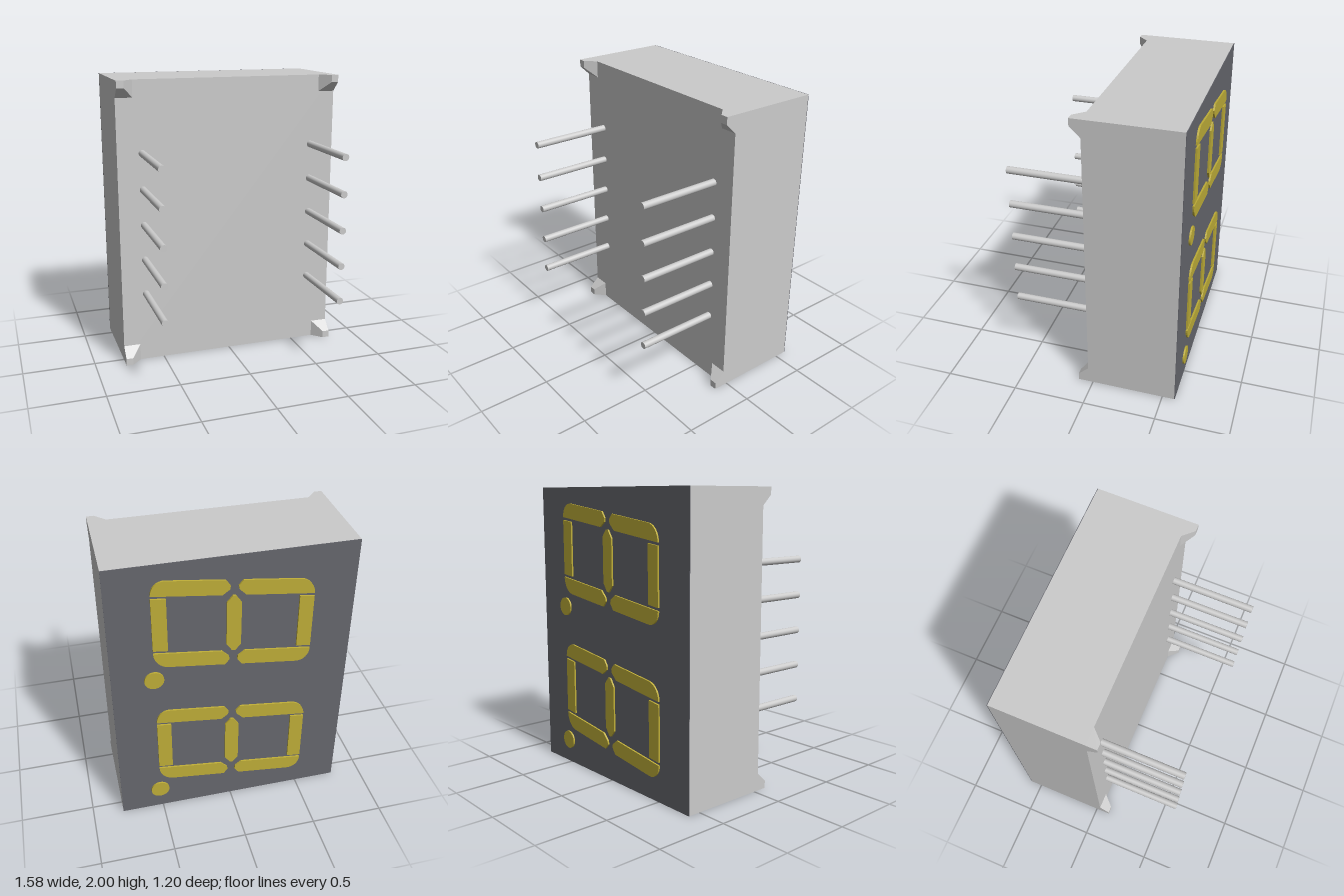
import * as THREE from 'three';

const W = 0.79;           // half width of the housing
const FRONT = 0.033;      // pin side of the housing
const BACK = -0.588;      // display side
const SLANT = 0.126;      // lean of the digits

export function createModel() {
  const model = new THREE.Group();
  const grey = new THREE.MeshStandardMaterial({ color: 0xcccccc });
  const dark = new THREE.MeshStandardMaterial({ color: 0x66676e });
  const yellow = new THREE.MeshStandardMaterial({ color: 0xbfae38 });

  const add = (parent, name, geometry, material, x = 0, y = 0, z = 0) => {
    const mesh = new THREE.Mesh(geometry, material);
    mesh.name = name;
    mesh.position.set(x, y, z);
    parent.add(mesh);
    return mesh;
  };

  // Housing and the dark display panel
  const panel = 0.004;
  const depth = FRONT - BACK - panel;
  add(model, 'housing', new THREE.BoxGeometry(2 * W, 2, depth), grey, 0, 1, FRONT - depth / 2);
  add(model, 'displayPanel', new THREE.BoxGeometry(2 * W, 2, panel), dark, 0, 1, BACK + panel / 2);

  // Corner feet: blocks whose two inner sides slope in towards the tip
  const feet = new THREE.Group();
  feet.name = 'feet';
  model.add(feet);
  for (const sx of [-1, 1]) for (const sy of [-1, 1]) {
    const geo = new THREE.BoxGeometry(1, 1, 1).toNonIndexed();
    const p = geo.attributes.position;
    for (let i = 0; i < p.count; i++) {
      const tip = p.getZ(i) > 0;
      const size = tip ? 0.05 : 0.118;
      const x = sx * (p.getX(i) * sx > 0 ? W : W - size);
      const y = 1 + sy * (p.getY(i) * sy > 0 ? 1 : 1 - size);
      p.setXYZ(i, x, y, tip ? 0.104 : FRONT);
    }
    geo.computeVertexNormals();
    add(feet, 'foot', geo, grey);
  }

  // Two rows of round pins
  const pins = new THREE.Group();
  pins.name = 'pins';
  model.add(pins);
  const pinLength = 0.6 - FRONT;
  const pinGeo = new THREE.CylinderGeometry(0.024, 0.024, pinLength, 24).rotateX(Math.PI / 2);
  for (const x of [-0.618, 0.618])
    for (let i = 0; i < 5; i++) add(pins, 'pin', pinGeo, grey, x, 0.5 + i * 0.2515, FRONT + pinLength / 2);

  // Digit segments, drawn upright and sheared; a null point marks a rounded corner
  const raise = 0.6 + BACK;
  const segment = (shape) => {
    const pts = shape.getPoints(8).map((q) => new THREE.Vector2(q.x, q.y + SLANT * q.x));
    return new THREE.ExtrudeGeometry(new THREE.Shape(pts), { depth: raise, bevelEnabled: false });
  };
  const polygon = (points) => new THREE.Shape(points.map(([x, y]) => new THREE.Vector2(x, y)));

  // Long arm with a rounded outer corner and a pointed inner end
  const arm = (sx, sy) => {
    const s = new THREE.Shape();
    s.moveTo(sx * 0.515, sy * 0.21);
    s.bezierCurveTo(sx * 0.515, sy * 0.268, sx * 0.475, sy * 0.315, sx * 0.42, sy * 0.315);
    s.lineTo(sx * 0.055, sy * 0.315);
    s.lineTo(sx * 0.025, sy * 0.275);
    s.lineTo(sx * 0.03, sy * 0.25);
    s.lineTo(sx * 0.075, sy * 0.21);
    return s;
  };
  const endBar = (sx) => polygon([[0.515, 0.19], [0.42, 0.19], [0.42, -0.19], [0.515, -0.19]].map(([x, y]) => [sx * x, y]));
  const middleBar = polygon([
    [0.047, 0.155], [0.01, 0.205], [-0.01, 0.205], [-0.047, 0.155],
    [-0.047, -0.155], [-0.01, -0.205], [0.01, -0.205], [0.047, -0.155],
  ]);

  const dotGeo = new THREE.CylinderGeometry(0.064, 0.064, raise, 32).rotateX(Math.PI / 2);
  for (const [name, y] of [['lowerDigit', 0.526], ['upperDigit', 1.52]]) {
    const digit = new THREE.Group();
    digit.name = name;
    digit.position.set(0, y, -0.6);
    model.add(digit);
    for (const sx of [-1, 1]) {
      for (const sy of [-1, 1]) add(digit, 'armSegment', segment(arm(sx, sy)), yellow);
      add(digit, 'endSegment', segment(endBar(sx)), yellow);
    }
    add(digit, 'middleSegment', segment(middleBar), yellow);
    add(digit, 'dot', dotGeo, yellow, 0.516, -0.358, raise / 2);
  }

  return model;
}
